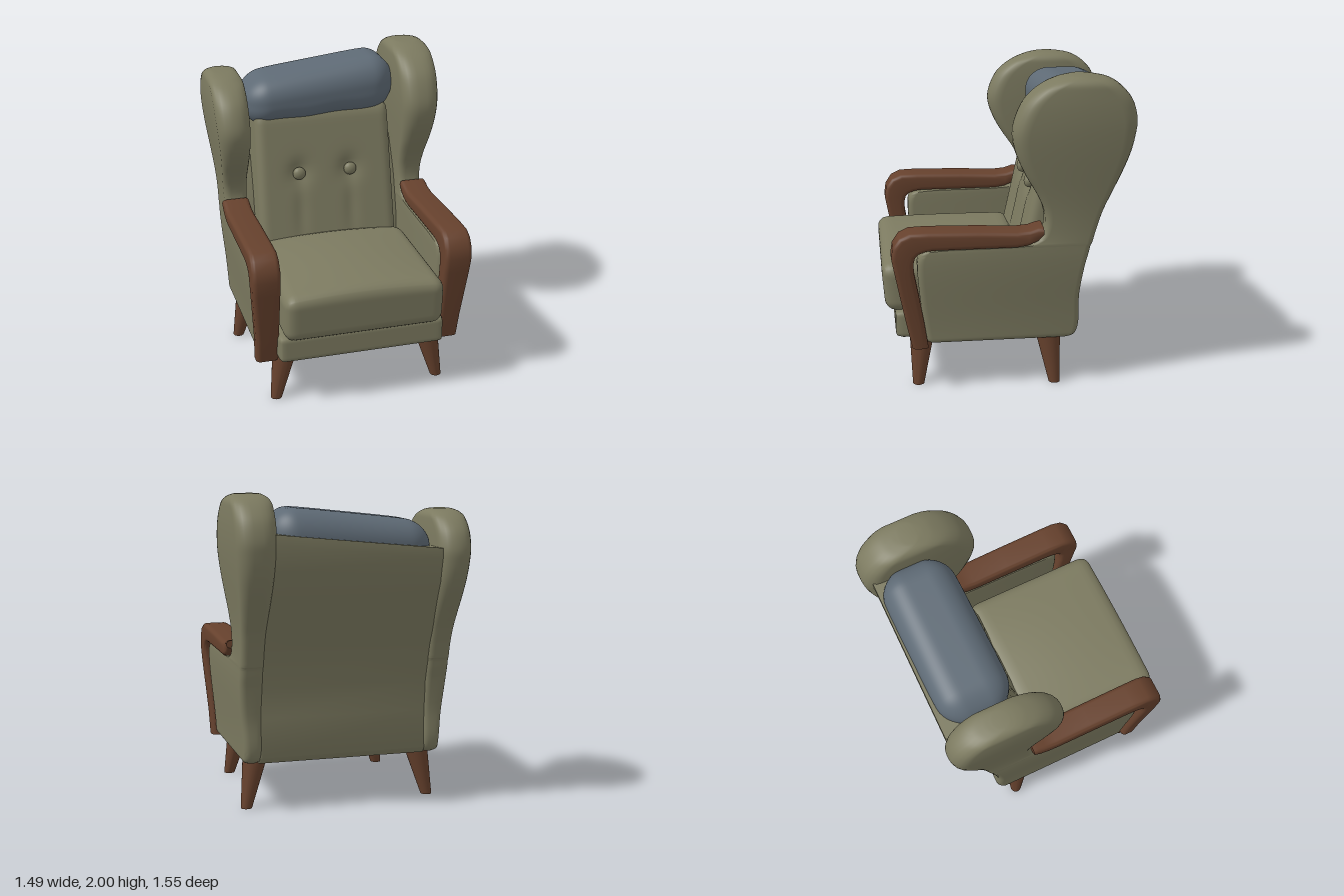
import * as THREE from 'three';
import { mergeVertices, toCreasedNormals } from 'three/addons/utils/BufferGeometryUtils.js';

const mat = (name, color) => Object.assign(new THREE.MeshStandardMaterial({ color }), { name });

// Move every vertex by a rule
function warp(geo, rule) {
  const p = geo.attributes.position, v = new THREE.Vector3();
  for (let i = 0; i < p.count; i++) {
    rule(v.fromBufferAttribute(p, i));
    p.setXYZ(i, v.x, v.y, v.z);
  }
  geo.computeVertexNormals();
  return geo;
}

// Rounded rectangle spanning x0..x1 and the (z, y) points a..b
function ring(a, b, x0, x1, radius) {
  const len = Math.hypot(b[0] - a[0], b[1] - a[1]), w = x1 - x0;
  const r = Math.min(radius, len * 0.49, w * 0.49), pts = [];
  const corners = [[w - r, len - r], [r, len - r], [r, r], [w - r, r]];
  corners.forEach(([cx, ct], c) => {
    for (let k = 0; k <= 5; k++) {
      const ang = (c + k / 5) * Math.PI / 2;
      const t = (ct + r * Math.sin(ang)) / len;
      pts.push([x0 + cx + r * Math.cos(ang), a[1] + (b[1] - a[1]) * t, a[0] + (b[0] - a[0]) * t]);
    }
  });
  return pts;
}

// Skin a list of rings and close both ends
function loft(rings) {
  const n = rings[0].length, pos = rings.flat(2), idx = [], last = (rings.length - 1) * n;
  for (let i = 0; i < rings.length - 1; i++) {
    for (let j = 0; j < n; j++) {
      const a = i * n + j, b = i * n + (j + 1) % n;
      idx.push(a, b, b + n, a, b + n, a + n);
    }
  }
  for (const [start, flip] of [[0, true], [last, false]]) {
    const c = pos.length / 3, rg = rings[start / n];
    for (let k = 0; k < 3; k++) pos.push(rg.reduce((s, p) => s + p[k], 0) / n);
    for (let j = 0; j < n; j++) {
      const a = start + j, b = start + (j + 1) % n;
      idx.push(c, flip ? b : a, flip ? a : b);
    }
  }
  const geo = new THREE.BufferGeometry();
  geo.setAttribute('position', new THREE.Float32BufferAttribute(pos, 3));
  geo.setIndex(idx);
  return geo;
}

// Soft block with rounded edges, dense enough to be warped
function cushion(w, h, d, r, rule) {
  let geo = new THREE.BoxGeometry(w, h, d, 48, 24, 24);
  geo.deleteAttribute('normal');
  geo.deleteAttribute('uv');
  geo = mergeVertices(geo);
  const half = new THREE.Vector3(w / 2 - r, h / 2 - r, d / 2 - r), neg = half.clone().negate();
  return warp(geo, v => {
    const core = v.clone().clamp(neg, half);
    v.sub(core).setLength(r).add(core);
    rule(v);
  });
}

export function createModel() {
  const group = new THREE.Group();
  const fabric = mat('olive fabric', 0x7c7a60);
  const blue = mat('blue fabric', 0x5e6a75);
  const wood = mat('brown wood', 0x66412d);
  const add = (name, geo, material) => {
    const m = new THREE.Mesh(geo, material);
    m.name = name;
    group.add(m);
    return m;
  };
  const lerp = THREE.MathUtils.lerp, step = THREE.MathUtils.smoothstep;

  // Side panel outline: front z, y, back z
  const outline = [
    [0.5, 0.31, -0.39], [0.51, 0.335, -0.43], [0.52, 0.4, -0.45], [0.545, 0.6, -0.45], [0.56, 0.8, -0.48],
    [0.555, 0.88, -0.5], [0.53, 0.925, -0.51], [0.45, 0.94, -0.515], [0, 0.945, -0.52], [-0.14, 0.96, -0.525],
    [-0.2, 1.0, -0.535], [-0.225, 1.07, -0.555], [-0.22, 1.16, -0.585], [-0.18, 1.26, -0.63],
    [-0.1, 1.4, -0.695], [-0.045, 1.53, -0.745], [-0.025, 1.64, -0.77], [-0.04, 1.73, -0.778],
    [-0.09, 1.84, -0.75], [-0.17, 1.92, -0.69], [-0.27, 1.975, -0.61], [-0.33, 1.993, -0.54], [-0.38, 2.0, -0.48],
  ].map(p => new THREE.Vector3(...p));
  const rows = new THREE.CatmullRomCurve3(outline).getPoints(110);
  const edge = (d, r) => d < r ? r - Math.sqrt(Math.max(0, r * r - (r - d) ** 2)) : 0;

  // Wooden arm rail: outer z, y and inner z, y
  const armRows = [
    [0.6, 0.29, 0.5, 0.29], [0.635, 0.45, 0.523, 0.45], [0.67, 0.63, 0.553, 0.63], [0.702, 0.8, 0.582, 0.79],
    [0.72, 0.9, 0.585, 0.86], [0.71, 0.97, 0.575, 0.9], [0.67, 1.03, 0.55, 0.925], [0.61, 1.058, 0.51, 0.94],
    [0.5, 1.062, 0.46, 0.945], [0.2, 1.055, 0.2, 0.945], [-0.05, 1.043, -0.05, 0.945],
    [-0.13, 1.05, -0.115, 0.955], [-0.18, 1.067, -0.175, 0.98], [-0.212, 1.068, -0.215, 1.02],
  ];

  for (const side of [1, -1]) {
    const label = side > 0 ? 'left' : 'right';
    const span = (i, o) => side > 0 ? [i, o] : [-o, -i];

    // Side panel and wing; the right wing is lower and sits slightly further forward
    add(label + 'SidePanelWing', toCreasedNormals(loft(rows.map(({ x: zf, y, z: zb }) => {
      const up = step(y, 1.0, 1.85);
      const inset = edge(2.0 - y, 0.06) + edge(y - 0.31, 0.03);
      const inner = lerp(0.53, side > 0 ? 0.49 : 0.525, up) + inset;
      const outer = lerp(0.645, 0.68, step(y, 0.31, 0.9)) + 0.065 * up - inset;
      const yy = side < 0 && y > 1.05 ? 1.05 + (y - 1.05) * 0.885 : y;
      const dz = side < 0 ? 0.02 * up : 0;
      return ring([zf + dz, yy], [zb + dz, yy], ...span(inner, outer), lerp(0.04, 0.1, up));
    })), 0.75), fabric);

    add(label + 'ArmRail', toCreasedNormals(loft(armRows.map(([az, ay, bz, by]) =>
      ring([az, ay], [bz, by], ...span(0.527, lerp(0.668, 0.705, step(ay, 0.3, 0.95))), 0.03))), 0.75), wood);

    // Tapered splayed legs: top x, foot x, top z, foot z
    for (const [name, xt, xf, zt, zf] of [['FrontLeg', 0.47, 0.54, 0.53, 0.562], ['BackLeg', 0.54, 0.608, -0.265, -0.303]]) {
      const leg = new THREE.CylinderGeometry(0.08, 0.036, 0.33, 24);
      leg.translate(0, 0.165, 0);
      add(label + name, toCreasedNormals(warp(leg, v => {
        const t = v.y / 0.33;
        v.x += side * lerp(xf, xt, t);
        v.z += lerp(zf, zt, t);
      }), 0.7), wood);
    }
  }

  // Seat base with the front rail
  add('seatBase', cushion(1.08, 0.18, 1.11, 0.035, v => {
    v.y += 0.4;
    v.z += 0.142;
  }), fabric);

  // Seat cushion with a crowned top and a front leaning outward
  add('seatCushion', cushion(1.03, 0.31, 0.9, 0.07, v => {
    const crown = (1 - (v.x / 0.515) ** 2) * (1 - 0.5 * (v.z / 0.45) ** 2);
    if (v.y > 0) v.y += 0.055 * crown * v.y / 0.155;
    if (v.z > 0) v.z += 0.08 * v.y * v.z / 0.45;
    v.y += 0.63;
    v.z += 0.317;
  }), fabric);

  // Back shell following the rear curve, its top edge sloping
  const backRows = [[0.312, -0.41], [0.35, -0.435], [0.6, -0.435], [0.8, -0.46], [1.05, -0.53], [1.3, -0.62],
    [1.5, -0.695], [1.66, -0.727], [1.72, -0.727]];
  add('backShell', toCreasedNormals(warp(
    loft(backRows.map(([y, z]) => ring([z + 0.17, y], [z, y], -0.55, 0.55, 0.02))),
    v => { v.y += 0.1 * v.x * step(v.y, 0.9, 1.72); }), 0.6), fabric);

  // Back cushion, dimpled around the buttons
  const buttons = [-0.185, 0.165];
  add('backCushion', cushion(0.94, 0.95, 0.32, 0.06, v => {
    v.y += 1.15;
    if (v.z > 0) {
      const fold = 0.012 * Math.exp(-(((v.y - 0.95) / 0.2) ** 2));
      for (const bx of buttons) {
        const dx = v.x - bx, dy = v.y - 1.21;
        v.z -= 0.03 * Math.exp(-(dx * dx + dy * dy) / 0.006) + fold * Math.exp(-dx * dx / 0.002);
      }
    }
    v.x *= 1 - 0.04 * (v.y - 0.7);
    v.z += -0.26 - 0.21 * (v.y - 0.8);
  }), fabric);
  buttons.forEach((x, i) => {
    const b = add('button' + (i + 1), new THREE.SphereGeometry(0.043, 20, 14), fabric);
    b.position.set(x, 1.21, -0.19);
    b.scale.z = 0.75;
  });

  // Head pillow, tilted and fuller toward the left
  add('headPillow', cushion(1.03, 0.36, 0.47, 0.16, v => {
    const t = v.x / 0.5;
    const ends = 1 - 0.12 * Math.abs(t) ** 6;
    v.y = 1.7 + 0.035 * t + v.y * (1 + 0.12 * t) * ends + (v.y < 0 ? 0.006 * Math.sin(v.x * 16) : 0);
    v.z = -0.475 - 0.01 * t + v.z * ends;
  }), blue);

  return group;
}
